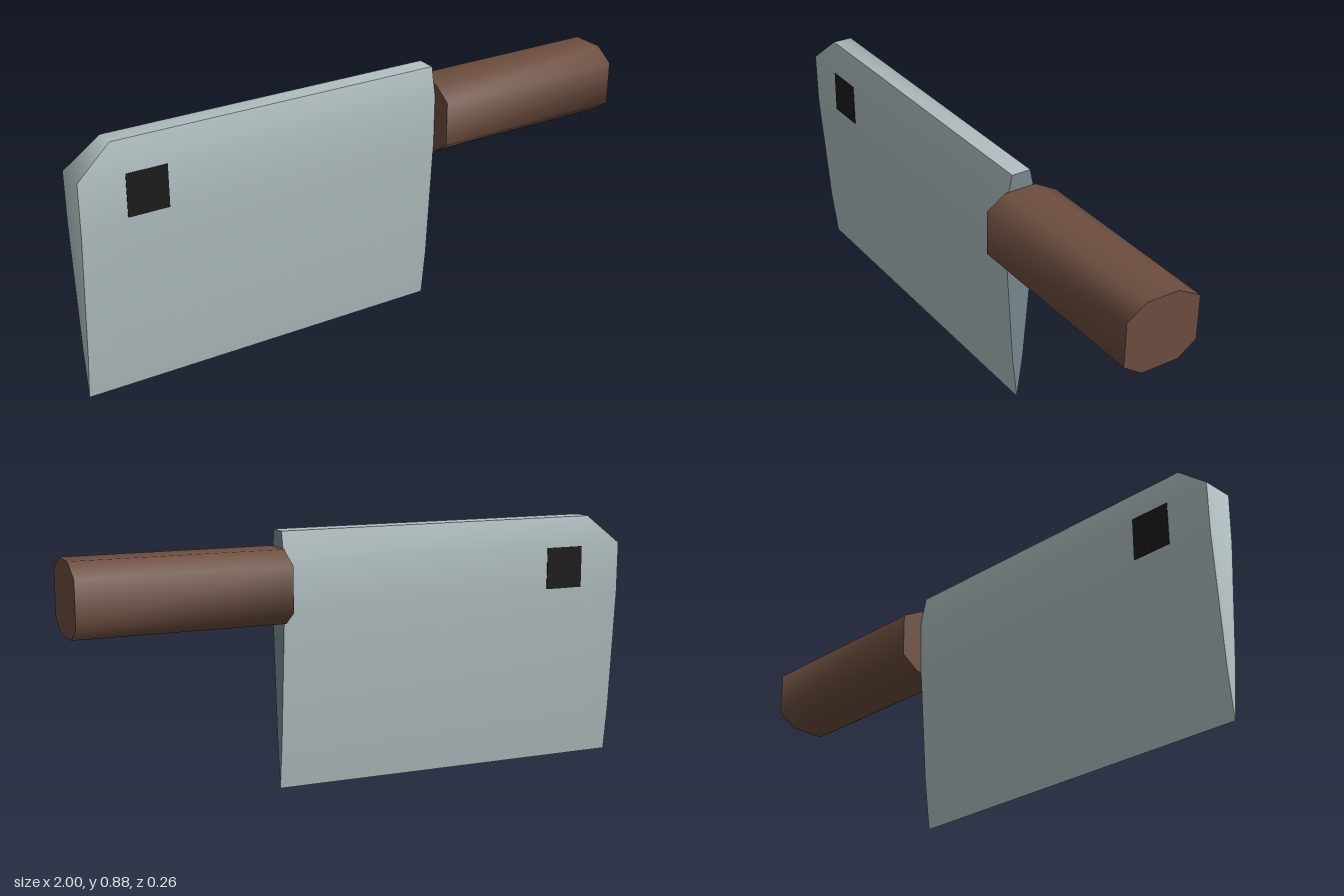
import * as THREE from 'three';
import { toCreasedNormals } from 'three/addons/utils/BufferGeometryUtils.js';

const material = (name, color) => {
  const m = new THREE.MeshStandardMaterial({ color });
  m.name = name;
  return m;
};

// Faces between rings of [x, y, z] points; rings run along +x, each from +z over the top to -z
function loft(rings, { startCap = false, endCap = false, walls = true }, crease) {
  const pos = [];
  const [a, b, c] = [0, 1, 2].map(() => new THREE.Vector3());
  const tri = (p, q, r) => {
    a.fromArray(p); b.fromArray(q); c.fromArray(r);
    if (b.sub(a).cross(c.sub(a)).length() > 1e-7) pos.push(...p, ...q, ...r);
  };
  const n = rings[0].length;
  if (walls) for (let i = 0; i < rings.length - 1; i++) {
    for (let j = 0; j < n; j++) {
      const k = (j + 1) % n, r = rings[i], s = rings[i + 1];
      tri(r[j], s[j], s[k]);
      tri(r[j], s[k], r[k]);
    }
  }
  const first = rings[0], last = rings[rings.length - 1];
  for (let j = 1; j < n - 1; j++) {
    if (startCap) tri(first[0], first[j], first[j + 1]);
    if (endCap) tri(last[0], last[j + 1], last[j]);
  }
  const g = new THREE.BufferGeometry();
  g.setAttribute('position', new THREE.Float32BufferAttribute(pos, 3));
  return toCreasedNormals(g, crease);
}

export function createModel() {
  const steel = material('steel', 0xb3c0c2);
  const darkSteel = material('dark steel', 0x7a8a91);
  const wood = material('brown wood', 0x6d4e3f);
  const black = material('black', 0x1c1c1c);

  const model = new THREE.Group();
  const add = (name, geometry, mat) => {
    const mesh = new THREE.Mesh(geometry, mat);
    mesh.name = name;
    model.add(mesh);
    return mesh;
  };

  // Blade: wedge section of [height, half thickness], clipped at the nose corner
  const midZ = 0.005, joinX = 0.29;
  const side = [[0.165, 0.0205], [0.6, 0.053], [0.775, 0.055], [0.875, 0.034]];
  const section = (x, clipped) => {
    const pts = side.map((p, i) => (clipped && i === 3 ? side[2] : p));
    return [
      [x, 0, midZ],
      ...pts.map(([y, h]) => [x, y, midZ + h]),
      ...pts.slice().reverse().map(([y, h]) => [x, y, midZ - h]),
    ];
  };
  const blade = [section(-1, true), section(-0.88, false), section(joinX, false)];
  add('blade', loft(blade, { startCap: true }, 0.95), steel);
  add('bladeHeel', loft(blade, { walls: false, endCap: true }, 0.1), darkSteel);

  // Handle: eight-sided bar, softly shaded around its length
  const octagon = [
    [0.575, 0.065], [0.62, 0.131], [0.773, 0.131], [0.818, 0.065],
    [0.818, -0.05], [0.773, -0.131], [0.62, -0.131], [0.575, -0.065],
  ];
  const handle = [joinX, 1].map((x) => octagon.map(([y, z]) => [x, y, z]));
  add('handle', loft(handle, { startCap: true, endCap: true }, 1.1), wood);

  // Hanging hole: dark plate on each face of the blade
  for (const s of [1, -1]) {
    const plate = add(s > 0 ? 'holeFront' : 'holeBack', new THREE.BoxGeometry(0.14, 0.146, 0.006), black);
    plate.position.set(-0.775, 0.697, midZ + s * 0.0535);
  }
  return model;
}
